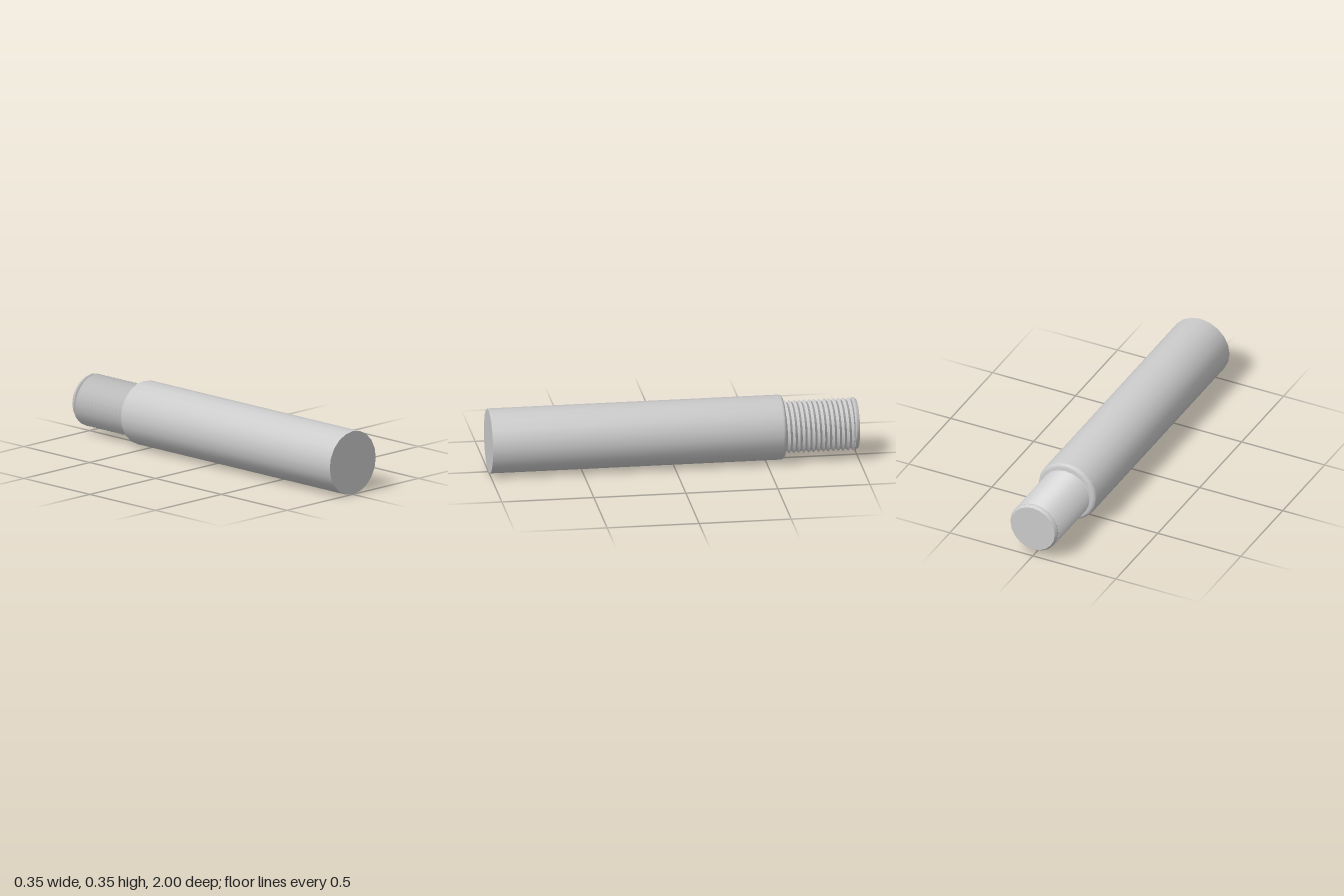
import * as THREE from 'three';
import { toCreasedNormals } from 'three/addons/utils/BufferGeometryUtils.js';

const SIDES = 20, AXIS_Y = 0.175;
const material = new THREE.MeshStandardMaterial({ color: 0xcccccc });

function addPart(group, name, geometry) {
  const mesh = new THREE.Mesh(toCreasedNormals(geometry, 0.6), material);
  mesh.name = name;
  mesh.position.y = AXIS_Y;
  group.add(mesh);
}

// Solid turned about the z axis; profile points are [radius, z] from front to back
function turned(profile) {
  const points = profile.map(([r, z]) => new THREE.Vector2(r, -z));
  return new THREE.LatheGeometry(points, SIDES).rotateX(-Math.PI / 2);
}

// Right-handed V thread: rows alternate root and crest, and climb one pitch per turn
function threadGeometry(zBack, zFront, root, crest, pitch) {
  const positions = [], index = [];
  const rows = 2 * Math.ceil((zFront - zBack) / pitch) + 3;
  for (let k = 0; k <= rows; k++) {
    for (let j = 0; j <= SIDES; j++) {
      const a = (j / SIDES) * Math.PI * 2;
      const r = k % 2 ? crest : root;
      const z = zBack + pitch * (k / 2 - 1 + j / SIDES);
      positions.push(r * Math.cos(a), r * Math.sin(a), THREE.MathUtils.clamp(z, zBack, zFront));
      if (k < rows && j < SIDES) {
        const p = k * (SIDES + 1) + j, q = p + SIDES + 1;
        index.push(p, p + 1, q + 1, p, q + 1, q);
      }
    }
  }
  const geometry = new THREE.BufferGeometry();
  geometry.setAttribute('position', new THREE.Float32BufferAttribute(positions, 3));
  geometry.setIndex(index);
  return geometry;
}

export function createModel() {
  const group = new THREE.Group();
  group.name = 'threadedPin';

  // Plain shank with a softened rear shoulder
  addPart(group, 'shank', turned([
    [0, 1], [0.175, 1], [0.175, -0.58], [0.172, -0.59], [0.163, -0.598], [0.155, -0.6], [0, -0.6],
  ]));

  // Threaded stud
  addPart(group, 'thread', threadGeometry(-0.982, -0.595, 0.13, 0.144, 0.0267));

  // Chamfered tip closing the thread
  addPart(group, 'tip', turned([
    [0, -0.972], [0.132, -0.972], [0.143, -0.978], [0.143, -0.984], [0.132, -1], [0, -1],
  ]));

  return group;
}
